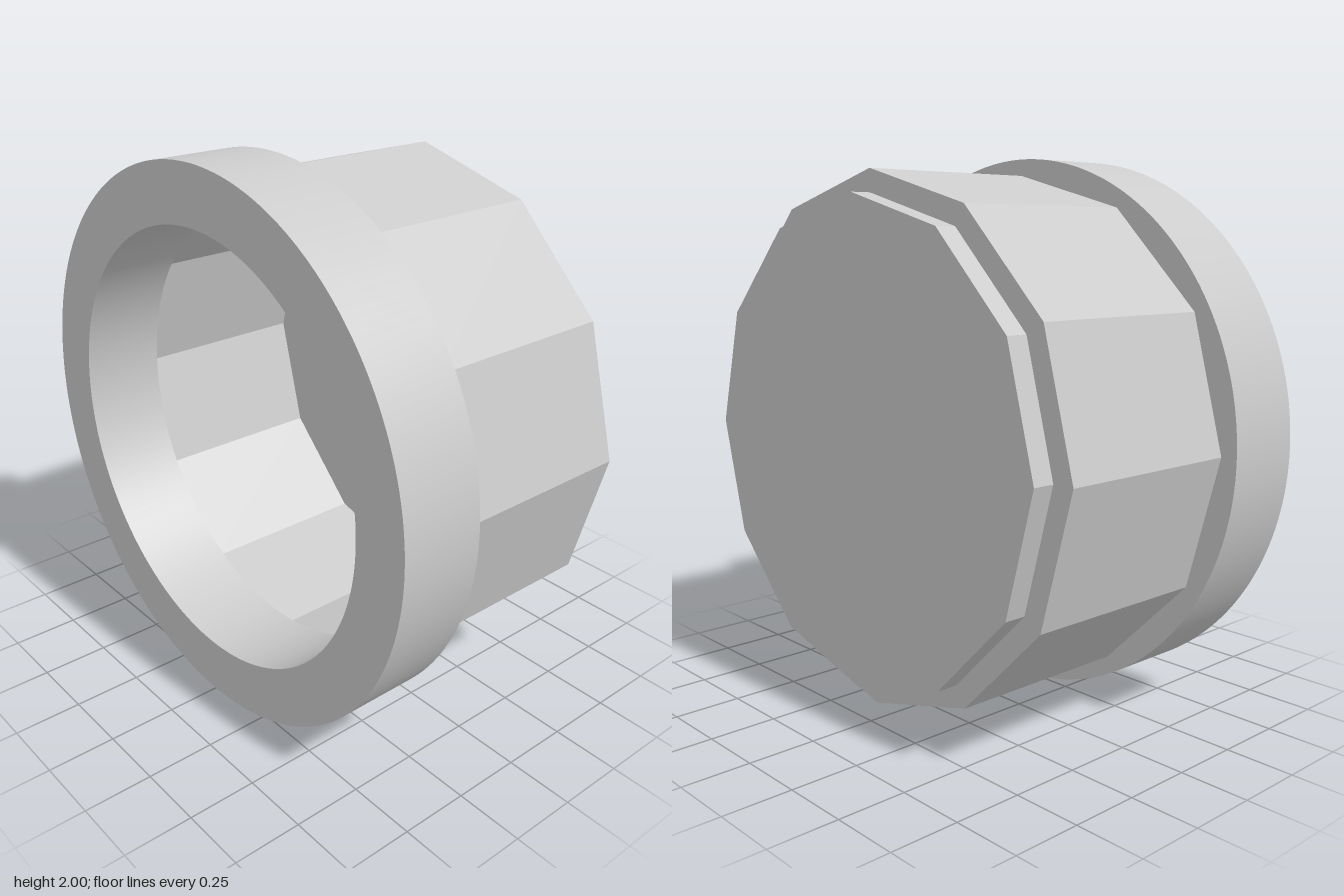
import * as THREE from 'three';
import { toCreasedNormals } from 'three/addons/utils/BufferGeometryUtils.js';

const SIDES = 12;

// Regular polygon outline with a corner on the +x axis
function polygonPoints(radius) {
  return Array.from({ length: SIDES }, (_, i) => {
    const a = (i / SIDES) * Math.PI * 2;
    return new THREE.Vector2(radius * Math.cos(a), radius * Math.sin(a));
  });
}

// Extrude an outline between two depths
function slab(shape, zBack, zFront) {
  const geometry = new THREE.ExtrudeGeometry(shape, {
    depth: zFront - zBack, bevelEnabled: false, curveSegments: 96,
  });
  return geometry.translate(0, 1, zBack);
}

export function createModel() {
  const group = new THREE.Group();
  const smooth = new THREE.MeshStandardMaterial({ color: 0xcccccc });
  const faceted = new THREE.MeshStandardMaterial({ color: 0xcccccc, flatShading: true });

  const add = (name, geometry, material) => {
    const mesh = new THREE.Mesh(geometry, material);
    mesh.name = name;
    group.add(mesh);
  };

  // Smooth round front rim with a round opening
  const rim = new THREE.Shape().absarc(0, 0, 1, 0, Math.PI * 2, false);
  rim.holes.push(new THREE.Path().absarc(0, 0, 0.79, 0, Math.PI * 2, true));
  add('frontRim', toCreasedNormals(slab(rim, 0.24, 0.55), 0.5), smooth);

  // Hollow twelve-sided body, wider inside than the rim opening
  const body = new THREE.Shape(polygonPoints(0.94));
  body.holes.push(new THREE.Path(polygonPoints(0.86).reverse()));
  add('body', slab(body, -0.47, 0.24), faceted);

  // Solid stepped plate closing the back
  add('backPlate', slab(new THREE.Shape(polygonPoints(0.86)), -0.55, -0.47), faceted);

  return group;
}
